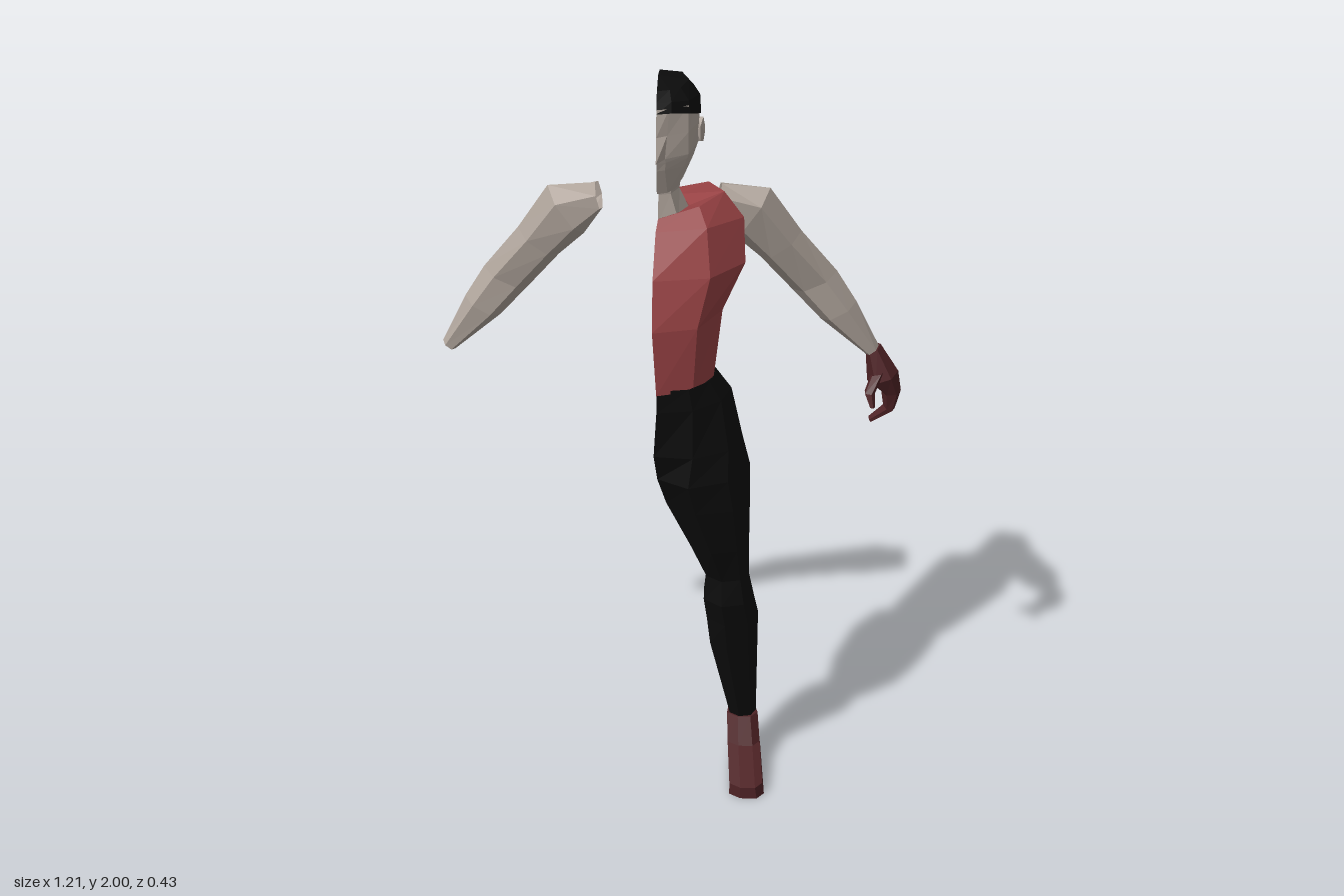
import * as THREE from 'three';

const mat = (name, color) => {
  const m = new THREE.MeshStandardMaterial({ color, flatShading: true, side: THREE.DoubleSide });
  m.name = name;
  return m;
};

// Joins rings of [x, y, z] points; closed wraps each ring, cap closes the two ends
function loft(rings, { closed = false, capStart = false, capEnd = false } = {}) {
  const pos = [], n = rings[0].length, last = closed ? n : n - 1;
  const tri = (a, b, c) => pos.push(...a, ...b, ...c);
  for (let r = 0; r < rings.length - 1; r++) {
    const A = rings[r], B = rings[r + 1];
    for (let i = 0; i < last; i++) {
      const j = (i + 1) % n;
      tri(A[i], A[j], B[j]);
      tri(A[i], B[j], B[i]);
    }
  }
  const fan = (R, flip) => {
    for (let i = 1; i < n - 1; i++) flip ? tri(R[0], R[i + 1], R[i]) : tri(R[0], R[i], R[i + 1]);
  };
  if (capStart) fan(rings[0], true);
  if (capEnd) fan(rings[rings.length - 1], false);
  const g = new THREE.BufferGeometry();
  g.setAttribute('position', new THREE.Float32BufferAttribute(pos, 3));
  g.computeVertexNormals();
  return g;
}

// Level section: [x, z] pairs at height y, running front to back
const level = (y, pts) => pts.map(([x, z]) => [x, y, z]);

// Level ellipse between limits, starting at the inner front
const oval = (y, x0, x1, z0, z1, n = 7) => Array.from({ length: n }, (_, i) => {
  const t = Math.PI - (i + 0.5) * 2 * Math.PI / n;
  return [(x0 + x1) / 2 + (x1 - x0) / 2 * Math.cos(t), y, (z0 + z1) / 2 + (z1 - z0) / 2 * Math.sin(t)];
});

// Limb section: centre, half height along a tilted axis (degrees), half depth in z
const limb = ([cx, cy, cz, h, d, deg], n = 6) => Array.from({ length: n }, (_, i) => {
  const t = i * 2 * Math.PI / n, a = deg * Math.PI / 180, u = h * Math.cos(t);
  return [cx + u * Math.cos(a), cy + u * Math.sin(a), cz + d * Math.sin(t)];
});

const MID = -0.035; // plane of symmetry of the half body
const mirror = rings => rings.map(r => r.map(([x, y, z]) => [2 * MID - x, y, z])).reverse();

export function createModel() {
  const skin = mat('skin', 0xb0a59c), red = mat('red shirt', 0x964143);
  const maroon = mat('maroon leather', 0x4e2225), black = mat('black', 0x0c0c0c);
  const root = new THREE.Group();
  root.name = 'halfFigure';
  const add = (name, geo, m) => {
    const mesh = new THREE.Mesh(geo, m);
    mesh.name = name;
    root.add(mesh);
    return mesh;
  };

  // Shirt, open along the middle
  add('shirt', loft([
    level(1.23, [[-0.03, 0.22], [0.06, 0.19], [0.11, 0.10], [0.09, 0.03], [-0.03, 0.01]]),
    level(1.40, [[-0.04, 0.22], [0.07, 0.19], [0.13, 0.07], [0.10, -0.04], [-0.035, -0.05]]),
    level(1.52, [[-0.04, 0.18], [0.10, 0.155], [0.185, 0.05], [0.13, -0.09], [-0.035, -0.09]]),
    [[-0.035, 1.62, 0.11], [0.09, 1.63, 0.105], [0.18, 1.62, 0.0], [0.13, 1.62, -0.13], [-0.035, 1.61, -0.105]],
    [[-0.03, 1.645, 0.085], [0.07, 1.67, 0.06], [0.13, 1.68, -0.02], [0.09, 1.675, -0.10], [-0.03, 1.65, -0.10]],
    [[-0.03, 1.64, 0.07], [0.02, 1.65, 0.05], [0.045, 1.65, 0.0], [0.02, 1.66, -0.05], [-0.03, 1.66, -0.06]],
  ]), red);

  // Neck
  add('neck', loft([
    level(1.63, [[-0.03, 0.075], [0.02, 0.06], [0.05, 0.0], [0.02, -0.05], [-0.03, -0.06]]),
    level(1.70, [[-0.03, 0.065], [0.0, 0.055], [0.02, 0.01], [0.005, -0.025], [-0.03, -0.035]]),
    level(1.78, [[-0.03, 0.065], [0.005, 0.055], [0.03, 0.02], [0.015, -0.01], [-0.03, -0.018]]),
  ]), skin);

  // Head, with the nose on the middle line
  add('head', loft([
    level(1.755, [[-0.03, 0.065], [-0.02, 0.06], [0.0, 0.05], [0.01, 0.04], [0.0, 0.02], [-0.03, 0.0]]),
    [[-0.03, 1.735, 0.15], [-0.005, 1.735, 0.14], [0.015, 1.74, 0.12], [0.03, 1.745, 0.06], [0.015, 1.76, 0.02], [-0.03, 1.76, -0.015]],
    level(1.80, [[-0.03, 0.17], [-0.01, 0.162], [0.035, 0.13], [0.055, 0.05], [0.03, -0.02], [-0.03, -0.03]]),
    level(1.82, [[-0.03, 0.175], [-0.008, 0.165], [0.042, 0.13], [0.062, 0.045], [0.04, -0.03], [-0.03, -0.04]]),
    level(1.83, [[-0.03, 0.207], [-0.010, 0.168], [0.045, 0.13], [0.066, 0.04], [0.045, -0.035], [-0.03, -0.045]]),
    level(1.885, [[-0.03, 0.175], [-0.005, 0.160], [0.045, 0.13], [0.07, 0.04], [0.05, -0.04], [-0.03, -0.052]]),
    level(1.95, [[-0.03, 0.165], [0.0, 0.155], [0.045, 0.125], [0.063, 0.04], [0.045, -0.04], [-0.03, -0.052]]),
  ]), skin);

  // Ear
  const ear = add('ear', new THREE.IcosahedronGeometry(1, 0), skin);
  ear.scale.set(0.012, 0.04, 0.024);
  ear.position.set(0.072, 1.86, 0.035);
  ear.rotation.x = 0.2;

  // Hair cap
  add('hair', loft([
    [[-0.03, 1.94, 0.167], [0.005, 1.94, 0.158], [0.05, 1.93, 0.127], [0.073, 1.905, 0.05], [0.056, 1.875, -0.045], [-0.03, 1.865, -0.058]],
    [[-0.03, 1.965, 0.155], [0.005, 1.965, 0.148], [0.045, 1.96, 0.12], [0.07, 1.95, 0.04], [0.052, 1.945, -0.048], [-0.03, 1.945, -0.062]],
    level(1.985, [[-0.03, 0.13], [0.0, 0.12], [0.025, 0.10], [0.042, 0.04], [0.025, -0.02], [-0.03, -0.035]]),
    Array.from({ length: 6 }, () => [-0.03, 2.0, 0.05]),
  ]), black);

  // Trousers: open hip, then a closed leg
  const crotch = level(0.97, [[-0.03, 0.17], [0.05, 0.22], [0.15, 0.18], [0.205, 0.07], [0.17, -0.02], [0.08, -0.04], [-0.02, -0.01]]);
  add('hip', loft([
    crotch,
    level(1.05, [[-0.038, 0.20], [0.06, 0.21], [0.15, 0.16], [0.185, 0.07], [0.155, -0.02], [0.07, -0.045], [-0.035, -0.03]]),
    level(1.18, [[-0.03, 0.215], [0.06, 0.20], [0.13, 0.14], [0.155, 0.06], [0.12, -0.03], [0.06, -0.062], [-0.03, -0.04]]),
    level(1.24, [[-0.03, 0.215], [0.05, 0.20], [0.10, 0.15], [0.118, 0.09], [0.10, 0.03], [0.05, 0.005], [-0.03, 0.0]]),
  ]), black);
  add('leg', loft([
    oval(0.14, 0.16, 0.235, -0.05, 0.018),
    oval(0.40, 0.10, 0.235, -0.06, 0.082),
    oval(0.49, 0.09, 0.235, -0.062, 0.103),
    oval(0.56, 0.082, 0.222, -0.03, 0.12),
    oval(0.63, 0.09, 0.208, -0.003, 0.107),
    oval(0.74, 0.045, 0.207, -0.018, 0.15),
    oval(0.88, -0.02, 0.207, -0.035, 0.195),
    crotch,
  ], { closed: true }), black);

  // Boot
  const sole = (y, x0, x1, z0, z1) => level(y, [[x0, z1 - 0.02], [x0 + 0.03, z1], [x1 - 0.02, z1],
    [x1, z1 - 0.025], [x1 - 0.01, z0 + 0.02], [x1 - 0.03, z0], [x0 + 0.025, z0], [x0 + 0.005, z0 + 0.02]]);
  add('boot', loft([
    sole(0, 0.165, 0.26, -0.075, 0.2),
    sole(0.035, 0.165, 0.255, -0.082, 0.2),
    sole(0.075, 0.158, 0.247, -0.075, 0.06),
    sole(0.145, 0.155, 0.24, -0.065, 0.02),
  ], { closed: true, capStart: true, capEnd: true }), maroon);

  // Arms: the right one is a mirrored copy
  const arm = [
    [0.115, 1.645, -0.075, 0.035, 0.062, 75],
    [0.20, 1.60, -0.09, 0.078, 0.066, 55],
    [0.275, 1.50, -0.125, 0.063, 0.062, 35],
    [0.365, 1.385, -0.162, 0.063, 0.055, 25],
    [0.43, 1.30, -0.165, 0.052, 0.046, 30],
    [0.525, 1.18, -0.175, 0.02, 0.025, 38],
  ].map(s => limb(s));
  add('leftArm', loft(arm, { closed: true, capEnd: true }), skin);
  add('rightArm', loft(mirror(arm), { closed: true, capStart: true }), skin);

  // Left glove: curled fingers and a thumb
  add('glove', loft([
    [0.525, 1.185, -0.175, 0.024, 0.028, 38],
    [0.553, 1.11, -0.17, 0.043, 0.046, 20],
    [0.578, 1.06, -0.183, 0.026, 0.035, 5],
    [0.575, 1.01, -0.187, 0.016, 0.026, -15],
    [0.525, 0.972, -0.187, 0.008, 0.014, -60],
  ].map(s => limb(s)), { closed: true, capStart: true, capEnd: true }), maroon);
  add('thumb', loft([
    [0.54, 1.13, -0.15, 0.022, 0.024, 20],
    [0.517, 1.085, -0.118, 0.015, 0.017, 0],
    [0.525, 1.05, -0.10, 0.007, 0.008, 0],
  ].map(s => limb(s, 5)), { closed: true, capEnd: true }), maroon);

  return root;
}
